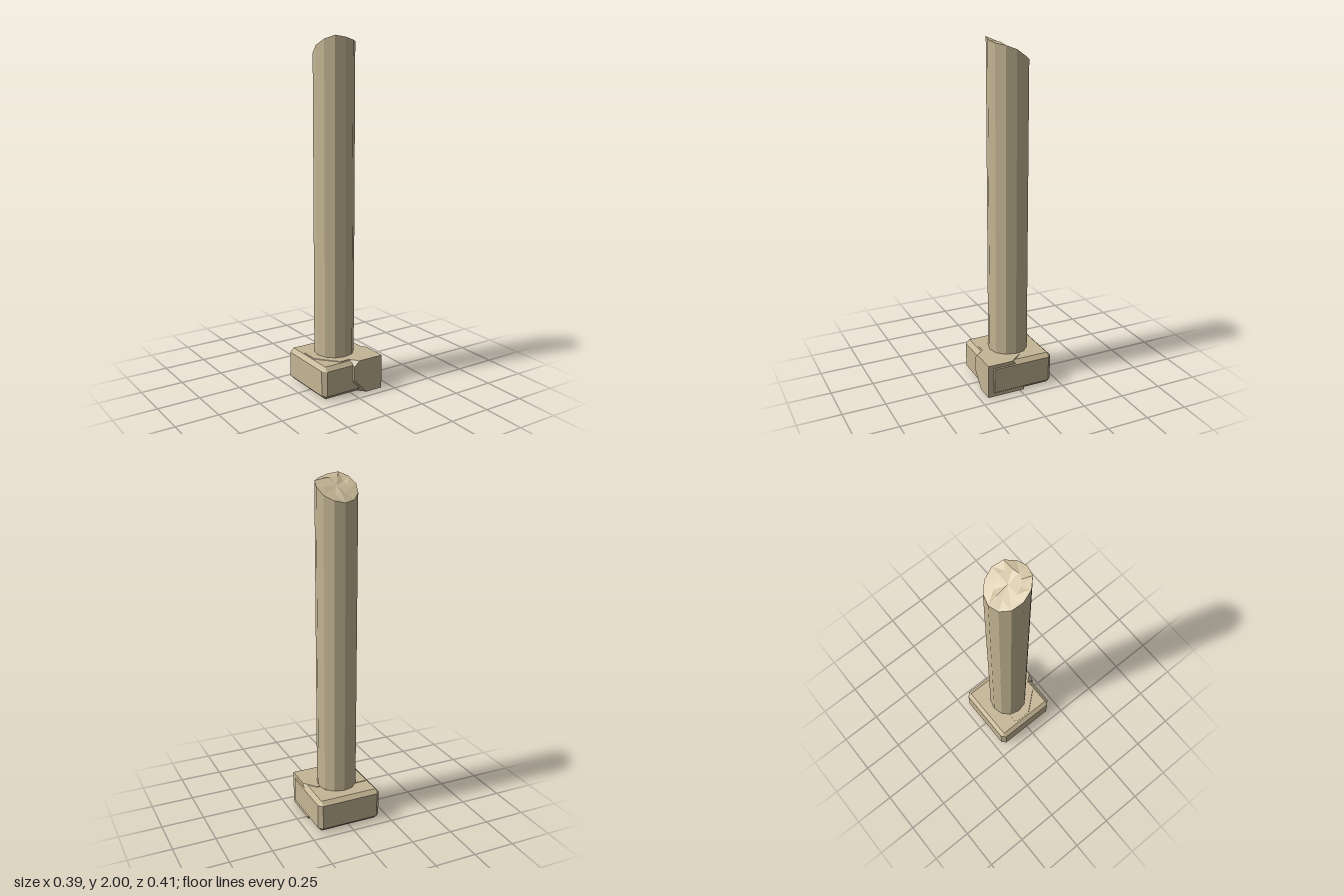
import * as THREE from 'three';
import { ConvexGeometry } from 'three/addons/geometries/ConvexGeometry.js';

const stone = new THREE.MeshStandardMaterial({ color: 0xc4b594, flatShading: true });

function addPart(group, name, geometry) {
  const mesh = new THREE.Mesh(geometry, stone);
  mesh.name = name;
  group.add(mesh);
  return mesh;
}

const hull = (points) => new ConvexGeometry(points.map((p) => new THREE.Vector3(...p)));

// Box with every edge and corner cut off at 45 degrees
function chamferedBox(hx, hy, hz, c) {
  const points = [];
  for (const x of [-1, 1]) for (const y of [-1, 1]) for (const z of [-1, 1]) {
    points.push(
      [x * hx, y * (hy - c), z * (hz - c)],
      [x * (hx - c), y * hy, z * (hz - c)],
      [x * (hx - c), y * (hy - c), z * hz]
    );
  }
  return hull(points);
}

// Twelve-sided shaft, snapped off along an uneven slope
function brokenShaft() {
  const profile = [[0.115, 0.18], [0.115, 1.9], [0.065, 1.9], [0, 1.9]];
  const geometry = new THREE.LatheGeometry(profile.map((p) => new THREE.Vector2(...p)), 12);
  const rim = [1.99, 1.975, 1.967, 1.945, 1.907, 1.882, 1.87, 1.88, 1.907, 1.948, 1.98, 2.0];
  const pos = geometry.attributes.position;
  for (let i = 0; i < pos.count; i++) {
    if (pos.getY(i) < 1) continue;
    const x = pos.getX(i), z = pos.getZ(i), r = Math.hypot(x, z);
    const k = (Math.round(Math.atan2(x, z) / (Math.PI / 6)) + 12) % 12;
    let y = 1.943 + z * 0.55;
    if (r > 0.1) y = rim[k];
    else if (r > 0.01) y += 0.006 * Math.sin(k * 2.4);
    pos.setY(i, y);
  }
  geometry.computeVertexNormals();
  return geometry;
}

export function createModel() {
  const group = new THREE.Group();
  group.name = 'brokenColumn';

  // Square plinth
  addPart(group, 'plinth', chamferedBox(0.195, 0.0965, 0.195, 0.023)).position.set(0, 0.1005, -0.01);

  // Corner block with three of its corners broken away
  addPart(group, 'cornerBlock', hull([
    [0.19, 0, 0.2], [0.19, 0.2, 0.2], [0.19, 0, -0.025], [0, 0, -0.025], [0, 0.2, -0.025],
    [0, 0.2, 0.155], [0.035, 0.2, 0.2], [0, 0.168, 0.2],
    [0, 0.09, 0.2], [0.085, 0, 0.2], [0, 0, 0.1],
    [0.128, 0.2, -0.025], [0.19, 0.2, 0.05], [0.19, 0.125, -0.025]
  ]));

  // Slab set into the plinth top, its front corner cut off
  addPart(group, 'insetSlab', hull([
    [-0.163, 0.2, -0.075], [0.1, 0.2, -0.075], [0.1, 0.2, 0.15], [-0.06, 0.2, 0.15], [-0.163, 0.2, 0.03],
    [-0.163, 0.08, -0.075], [0.1, 0.08, -0.075], [0.1, 0.08, 0.15], [-0.163, 0.08, 0.15]
  ]));

  addPart(group, 'shaft', brokenShaft()).position.z = -0.01;
  return group;
}
